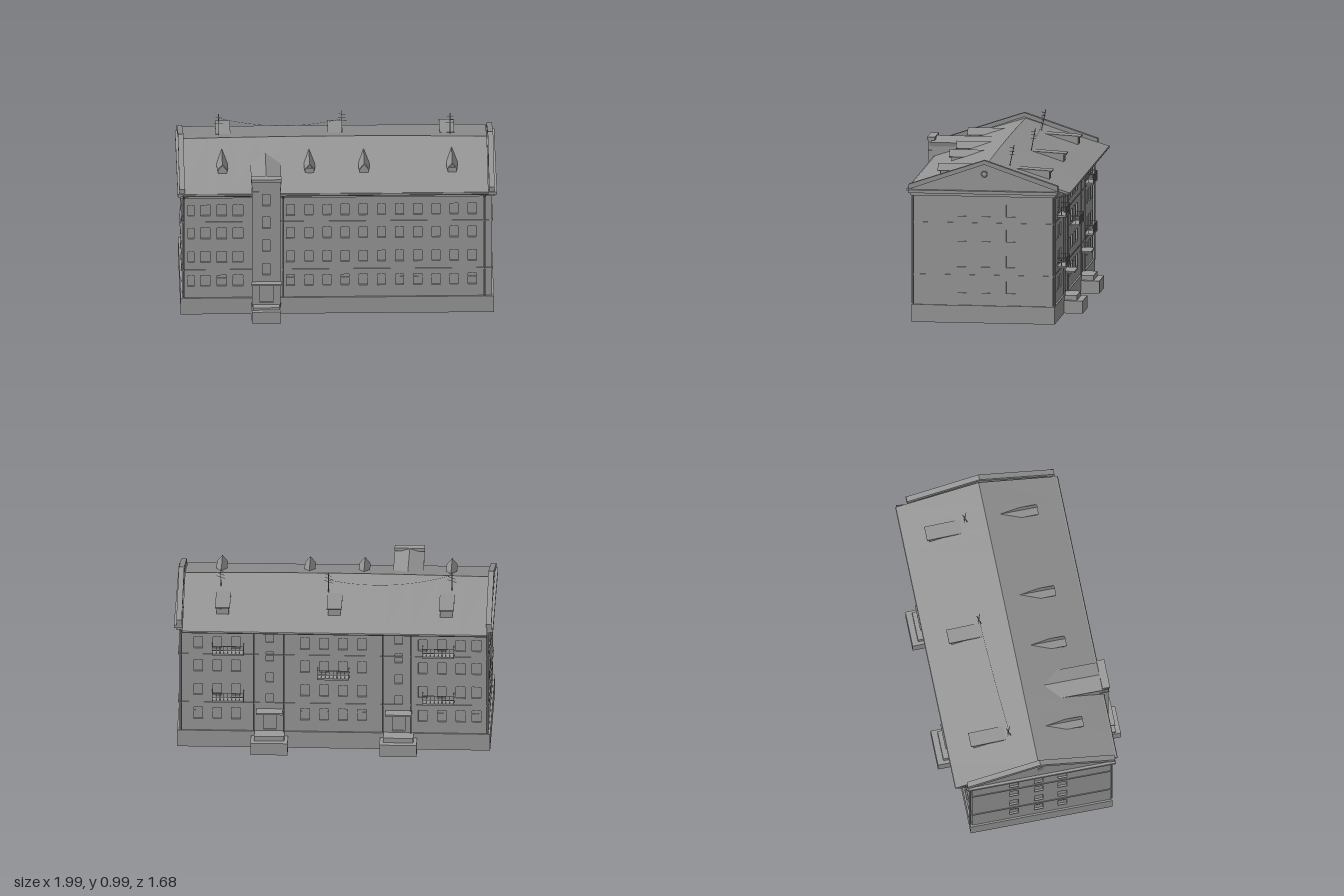
import * as THREE from 'three';
import { mergeGeometries } from 'three/addons/utils/BufferGeometryUtils.js';

const material = color => new THREE.MeshStandardMaterial({ color, flatShading: true, side: THREE.DoubleSide });
const wallGrey = material(0x9c9c9c), roofGrey = material(0x959595);
// Outer wall planes: x runs along the block, z across it
const U0 = -0.868, U1 = 0.884, V0 = -0.384, V1 = 0.413, T = 0.016;
const ROWS = [0.205, 0.353, 0.5, 0.643];
const roofY = v => 0.905 - 0.324 * Math.abs(v);

const box = (x0, x1, y0, y1, z0, z1) =>
  new THREE.BoxGeometry(x1 - x0, y1 - y0, z1 - z0).translate((x0 + x1) / 2, (y0 + y1) / 2, (z0 + z1) / 2);

function add(parent, name, geos, mat = wallGrey) {
  const list = (Array.isArray(geos) ? geos : [geos]).map(g => (g.index ? g.toNonIndexed() : g));
  const mesh = new THREE.Mesh(list.length > 1 ? mergeGeometries(list) : list[0], mat);
  mesh.name = name;
  parent.add(mesh);
}

const polygon = pts => new THREE.Shape(pts.map(p => new THREE.Vector2(p[0], p[1])));
const extrude = (shape, depth, steps = 1) => new THREE.ExtrudeGeometry(shape, { depth, steps, bevelEnabled: false, curveSegments: 8 });
// A (z, y) profile swept along x
const alongX = (shape, x0, x1, steps) => extrude(shape, x1 - x0, steps).rotateY(-Math.PI / 2).translate(x1, 0, 0);
// An (x, y) profile swept along z
const alongZ = (pts, z0, z1) => extrude(polygon(pts), z1 - z0).translate(0, 0, z0);

function rod(a, b, r) {
  const A = new THREE.Vector3(...a), B = new THREE.Vector3(...b), d = B.clone().sub(A);
  const q = new THREE.Quaternion().setFromUnitVectors(new THREE.Vector3(0, 1, 0), d.clone().normalize());
  const mid = A.add(B).multiplyScalar(0.5);
  return new THREE.CylinderGeometry(r, r, d.length(), 6).applyQuaternion(q).translate(mid.x, mid.y, mid.z);
}

// Wall facing +z with outer face at z = 0, pierced by windows [x, y, w, h]
function facade(name, x0, x1, y0, y1, windows) {
  const g = new THREE.Group();
  g.name = name;
  const wall = polygon([[x0, y0], [x1, y0], [x1, y1], [x0, y1]]);
  const panes = [], bars = [], sills = [];
  for (const [x, y, w, h] of windows) {
    const l = x - w / 2, r = x + w / 2, b = y - h / 2, t = y + h / 2;
    wall.holes.push(new THREE.Path([[l, b], [l, t], [r, t], [r, b]].map(p => new THREE.Vector2(...p))));
    panes.push(box(l, r, b, t, -0.011, -0.008));
    bars.push(box(x - 0.002, x + 0.002, b, t, -0.008, -0.006));
    // Ground floor windows carry a cross bar
    if (y === ROWS[0]) bars.push(box(l, r, y + h * 0.15, y + h * 0.15 + 0.004, -0.008, -0.006));
    sills.push(box(l - 0.002, r + 0.002, b - 0.004, b, -0.004, 0.003));
  }
  add(g, name + 'Wall', extrude(wall, T).translate(0, 0, -T));
  add(g, name + 'Panes', panes);
  add(g, name + 'WindowBars', bars);
  add(g, name + 'Sills', sills);
  return g;
}

export function createModel() {
  const model = new THREE.Group();
  model.name = 'apartmentBlock';
  const b = new THREE.Group();
  b.name = 'building';
  b.rotation.y = -Math.PI / 6;
  model.add(b);

  // Plinth ring, open underneath
  const P = 0.01;
  add(b, 'plinth', [
    box(U0 - P, U1 + P, 0, 0.1, V1 - T, V1 + P), box(U0 - P, U1 + P, 0, 0.1, V0 - P, V0 + T),
    box(U0 - P, U0 + T, 0, 0.1, V0, V1), box(U1 - T, U1 + P, 0, 0.1, V0, V1)]);

  // Four walls with their windows
  const grid = (xs, w, h) => ROWS.flatMap(y => xs.map(x => [x, y, w, h]));
  const frontX = Array.from({ length: 11 }, (_, i) => -0.256 + i * 0.1027);
  const front = facade('front', U0, U1, 0.1, 0.74, [
    ...grid(frontX, 0.046, 0.066), ...grid([-0.82], 0.036, 0.066), ...grid([-0.739, -0.646, -0.554], 0.056, 0.066)]);
  front.position.z = V1;

  const backX = [0.774, 0.666, 0.56, 0.17, 0.063, -0.045, -0.153, -0.496, -0.604, -0.71, -0.8];
  const stairX = [0.37, -0.36];
  const back = facade('back', -U1, -U0, 0.1, 0.74, [
    ...grid(backX.map(u => -u), 0.05, 0.068),
    ...stairX.flatMap(u => [0.3, 0.43, 0.56, 0.675].map(y => [-u, y, 0.042, 0.055])),
    ...stairX.map(u => [-u, 0.16, 0.07, 0.1])]);
  back.rotation.y = Math.PI;
  back.position.z = V0;

  const endX = [0.137, 0, -0.142];
  const leftEnd = facade('leftEnd', -V1, -V0, 0.1, 0.74, grid(endX.map(v => -v), 0.05, 0.068));
  leftEnd.rotation.y = Math.PI / 2;
  leftEnd.position.x = U1;
  const rightEnd = facade('rightEnd', V0, V1, 0.1, 0.74, grid(endX, 0.05, 0.068));
  rightEnd.rotation.y = -Math.PI / 2;
  rightEnd.position.x = U0;
  b.add(front, back, leftEnd, rightEnd);

  // Shallow rooms behind the ground floor front windows
  for (const [x0, x1] of [[0.54, 0.82], [0.25, 0.45], [-0.17, 0.17], [-0.76, -0.41]])
    add(b, 'groundFloorRoom', box(x0, x1, 0.11, 0.25, 0.25, V1 - T));

  // String courses and eaves cornice, each a ring round the walls
  const ring = (y0, y1, o) => [
    box(U0 - o, U1 + o, y0, y1, V1 - 0.005, V1 + o), box(U0 - o, U1 + o, y0, y1, V0 - o, V0 + 0.005),
    box(U0 - o, U0 + 0.005, y0, y1, V0 - o, V1 + o), box(U1 - 0.005, U1 + o, y0, y1, V0 - o, V1 + o)];
  add(b, 'stringCourses', [...ring(0.267, 0.275, 0.004), ...ring(0.567, 0.573, 0.004)]);
  add(b, 'cornice', [...ring(0.725, 0.74, 0.014), ...ring(0.74, 0.758, 0.027)]);

  // Roof slab, its ridge bowed slightly upwards at the middle
  const section = [[-0.472, roofY(0.472)], [0, 0.9], [0.447, roofY(0.447)], [0.447, 0.745], [0, 0.883], [-0.472, 0.738]];
  const roof = alongX(polygon(section), -0.862, 0.862, 12);
  const p = roof.attributes.position;
  for (let i = 0; i < p.count; i++)
    if (Math.abs(p.getZ(i)) < 0.01) p.setY(i, p.getY(i) + 0.009 * Math.cos(p.getX(i) * Math.PI / 1.724));
  add(b, 'roof', roof, roofGrey);
  add(b, 'gutters', [rod([-0.862, 0.752, 0.45], [0.862, 0.752, 0.45], 0.007), rod([-0.862, 0.746, -0.474], [0.862, 0.746, -0.474], 0.007)]);

  // Gable pediments with round vent and raking cornice
  for (const s of [-1, 1]) {
    const x = s < 0 ? U0 : U1;
    const tri = polygon([[-0.4, 0.755], [0.425, 0.755], [0.425, 0.77], [0.007, 0.915], [-0.4, 0.77]]);
    tri.holes.push(new THREE.Path().absarc(0.007, 0.853, 0.015, 0, Math.PI * 2, true));
    add(b, 'pediment', alongX(tri, x - 0.012, x + 0.004));
    add(b, 'ventRing', new THREE.TorusGeometry(0.016, 0.003, 6, 16).rotateY(Math.PI / 2).translate(x + s * 0.005, 0.853, 0.007));
    add(b, 'ventPanel', box(x - 0.005, x - 0.001, 0.836, 0.87, -0.01, 0.024));
    const rake = [[-0.412, 0.758], [-0.412, 0.792], [0.007, 0.932], [0.438, 0.788], [0.438, 0.758], [0.42, 0.765], [0.007, 0.908], [-0.395, 0.768]];
    add(b, 'rakingCornice', alongX(polygon(rake), x - 0.018, x + 0.013), roofGrey);
  }

  // Stair tower on the front
  const TL = -0.475, TR = -0.314, TC = -0.3945, TZ = 0.482;
  const tower = facade('tower', TL, TR, 0.07, 0.85, [
    [TC, 0.155, 0.075, 0.11], ...[0.307, 0.452, 0.597, 0.738].map(y => [TC, y, 0.042, 0.07])]);
  tower.position.z = TZ;
  b.add(tower);
  add(b, 'towerSides', [TL, TR - T].flatMap(x => [
    box(x, x + T, 0, 0.835, V1 - T, TZ - T), box(x, x + T, 0.77, 0.835, 0.22, V1 - T)]));
  add(b, 'towerRoof', alongZ([[TL, 0.815], [TR, 0.815], [TR + 0.005, 0.838], [TC, 0.866], [TL - 0.005, 0.838]], 0.12, TZ - 0.005), roofGrey);
  add(b, 'towerParapet', [box(TL - 0.005, TR + 0.005, 0.85, 0.868, 0.445, TZ + 0.008), box(TL - 0.003, TR + 0.003, 0.785, 0.792, 0.43, TZ + 0.004)]);
  add(b, 'towerCanopy', box(TL - 0.005, TR + 0.005, 0.218, 0.228, TZ, 0.52));
  add(b, 'frontPorch', [box(-0.478, -0.312, 0, 0.07, V1, 0.552), box(-0.47, -0.32, 0.07, 0.085, V1, 0.525)]);

  // Rear entrances: stepped porch, door canopy
  for (const u of stairX) {
    add(b, 'rearPorch', [box(u - 0.105, u + 0.105, 0, 0.072, -0.5, V0), box(u - 0.085, u + 0.085, 0.072, 0.1, -0.465, V0)]);
    add(b, 'rearCanopy', box(u - 0.075, u + 0.075, 0.226, 0.236, -0.45, V0));
  }

  // Balconies: slab, rails and balusters
  for (const [u, y] of [[0.605, 0.293], [0.605, 0.583], [0.009, 0.44], [-0.585, 0.293], [-0.585, 0.583]]) {
    const w = 0.09, z = V0 - 0.05, parts = [box(u - w, u + w, y, y + 0.01, z, V0)];
    for (const h of [0.03, 0.056])
      parts.push(box(u - w, u + w, y + h, y + h + 0.003, z, z + 0.003),
        box(u - w, u - w + 0.003, y + h, y + h + 0.003, z, V0), box(u + w - 0.003, u + w, y + h, y + h + 0.003, z, V0));
    for (let i = 0; i <= 8; i++) {
      const x = u - w + 0.002 + i * (2 * w - 0.004) / 8;
      parts.push(box(x - 0.0015, x + 0.0015, y, y + 0.058, z, z + 0.003));
    }
    for (const sx of [-w + 0.0015, w - 0.0015])
      parts.push(box(u + sx - 0.0015, u + sx + 0.0015, y, y + 0.058, z + 0.025, z + 0.028));
    add(b, 'balcony', parts);
  }

  // Downpipes, bent out to the gutters at the top
  const pipes = (xs, wallZ, gutterY, gutterZ) => xs.flatMap(u => [
    rod([u, 0.1, wallZ], [u, 0.725, wallZ], 0.005), rod([u, 0.72, wallZ], [u, gutterY, gutterZ], 0.005)]);
  add(b, 'downpipes', [
    ...pipes([-0.86, -0.298, 0.84], V1 + 0.01, 0.752, 0.45),
    ...pipes([-0.86, -0.43, -0.27, 0.29, 0.46, 0.87], V0 - 0.01, 0.746, -0.474)]);

  // Front dormers, gabled
  for (const u of [-0.64, -0.147, 0.162, 0.66]) {
    add(b, 'frontDormer', alongZ([[u - 0.025, 0.795], [u + 0.025, 0.795], [u + 0.025, 0.84], [u, 0.868], [u - 0.025, 0.84]], 0.1, 0.285));
    add(b, 'frontDormerRoof', alongZ([[u - 0.031, 0.838], [u, 0.876], [u + 0.031, 0.838], [u + 0.028, 0.833], [u, 0.867], [u - 0.028, 0.833]], 0.085, 0.3), roofGrey);
    add(b, 'frontDormerWindow', box(u - 0.015, u + 0.015, 0.815, 0.842, 0.28, 0.288));
  }

  // Rear dormers, shed roofed
  for (const u of [-0.628, 0.006, 0.638]) {
    add(b, 'rearDormer', alongX(polygon([[-0.335, 0.78], [-0.335, 0.84], [-0.16, 0.85], [-0.16, 0.83]]), u - 0.035, u + 0.035));
    add(b, 'rearDormerRoof', alongX(polygon([[-0.35, 0.838], [-0.35, 0.845], [-0.148, 0.857], [-0.148, 0.848]]), u - 0.042, u + 0.042), roofGrey);
    add(b, 'rearDormerWindow', box(u - 0.02, u + 0.02, 0.803, 0.83, -0.338, -0.33));
  }

  // Leaning aerials and the sagging wire between two of them
  for (const [u, v] of [[-0.653, -0.13], [0.044, -0.162], [0.655, -0.12]]) {
    const parts = [rod([u, roofY(v) - 0.01, v + 0.015], [u, 0.985, v - 0.012], 0.0025)];
    [0.925, 0.945, 0.965].forEach((y, i) => parts.push(rod([u - 0.025 + i * 0.004, y, v - 0.01], [u + 0.025 - i * 0.004, y + 0.008, v + 0.01], 0.0015)));
    add(b, 'aerial', parts);
  }
  const wire = new THREE.QuadraticBezierCurve3(new THREE.Vector3(-0.653, 0.965, -0.13), new THREE.Vector3(-0.3, 0.86, -0.147), new THREE.Vector3(0.044, 0.94, -0.162));
  add(b, 'wire', new THREE.TubeGeometry(wire, 20, 0.0008, 4));

  return model;
}
